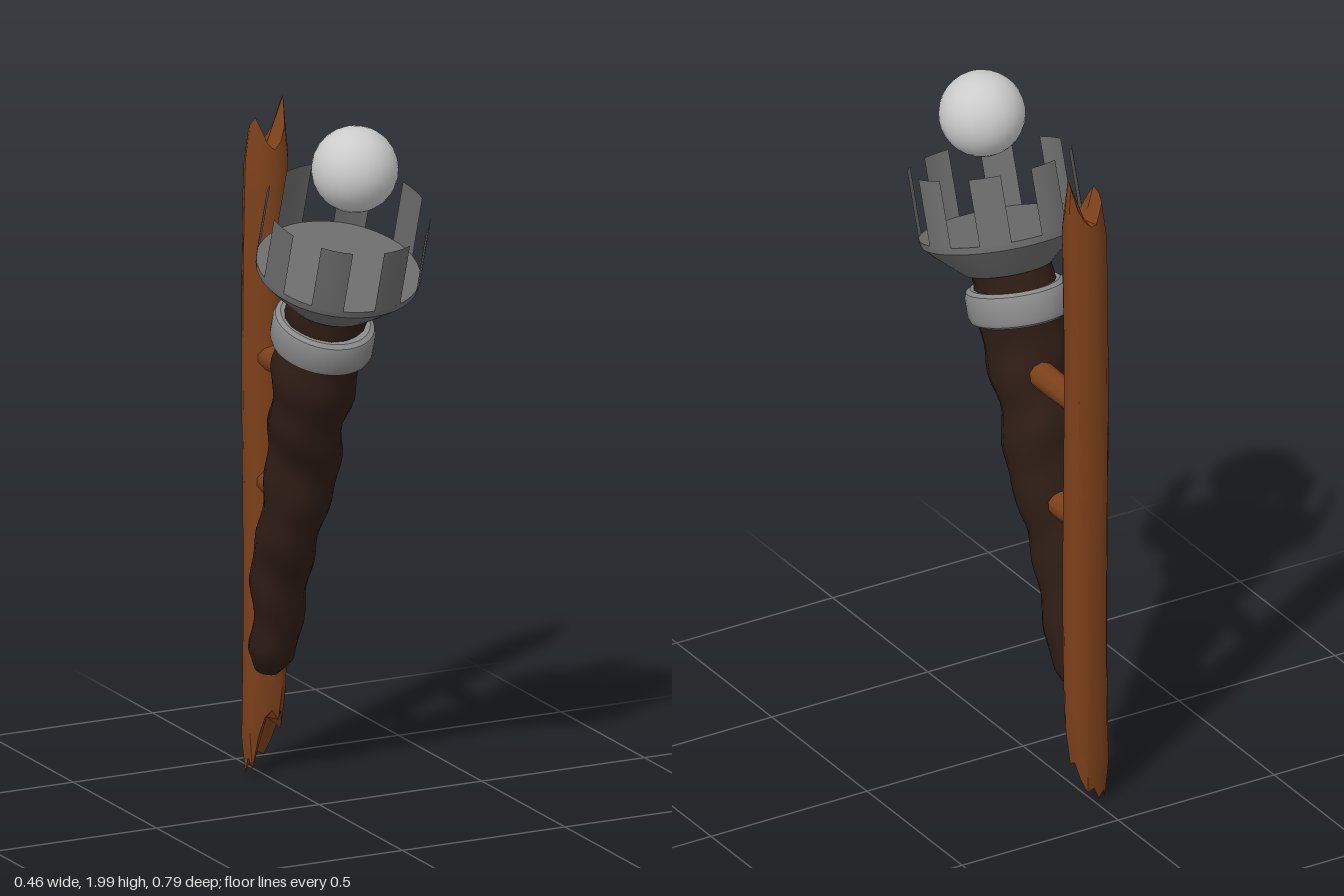
import * as THREE from 'three';
import { toCreasedNormals } from 'three/addons/utils/BufferGeometryUtils.js';

const material = (color, side = THREE.FrontSide) => new THREE.MeshStandardMaterial({ color, side });

function part(name, geometry, mat, parent) {
  const mesh = new THREE.Mesh(geometry, mat);
  mesh.name = name;
  parent.add(mesh);
  return mesh;
}

// Closed tube: point(v, angle) gives [x, y, z]; angle runs from +z towards +x.
function loft(rows, cols, point, bottom, top) {
  const pos = [], index = [];
  for (let i = 0; i <= rows; i++) {
    for (let j = 0; j < cols; j++) pos.push(...point(i / rows, (j / cols) * Math.PI * 2));
  }
  const b = pos.length / 3;
  pos.push(...bottom, ...top);
  for (let j = 0; j < cols; j++) {
    const k = (j + 1) % cols, last = rows * cols;
    for (let i = 0; i < rows; i++) {
      const r = i * cols, s = r + cols;
      index.push(r + j, r + k, s + j, r + k, s + k, s + j);
    }
    index.push(b, k, j, b + 1, last + j, last + k);
  }
  const g = new THREE.BufferGeometry();
  g.setAttribute('position', new THREE.Float32BufferAttribute(pos, 3));
  g.setIndex(index);
  g.computeVertexNormals();
  return g;
}

const lathe = (points) => toCreasedNormals(
  new THREE.LatheGeometry(points.map(([r, y]) => new THREE.Vector2(r, y)), 40), 0.6);

export function createModel() {
  const model = new THREE.Group();
  model.name = 'wallTorch';
  const wood = material(0x7c401a);
  const bark = material(0x2e1c15);
  const iron = material(0x6c6c6c);
  const plate = material(0x6c6c6c, THREE.DoubleSide);

  // Upright wooden post with splintered ends (end heights listed around the post)
  const topEnd = [1.80, 1.82, 1.86, 1.89, 1.94, 1.92, 1.86, 1.82, 1.80, 1.80, 1.83, 1.85, 1.87, 1.89, 1.86, 1.82];
  const lowEnd = [0.20, 0.17, 0.19, 0.17, 0.13, 0.14, 0.09, 0.05, 0.06, 0.02, 0.04, 0.01, 0.06, 0.03, 0.12, 0.18];
  const post = loft(18, 16, (v, a) => {
    const j = Math.round(a / (Math.PI * 2) * 16) % 16;
    const y = THREE.MathUtils.lerp(lowEnd[j], topEnd[j], v);
    const ends = 1 - 0.2 * Math.max(0, Math.abs(v - 0.5) * 2 - 0.88) / 0.12;
    const r = ends * (1 + 0.05 * Math.sin(3 * a + 1) + 0.03 * Math.sin(5 * a + 4 * v));
    return [0.008 + 0.063 * r * Math.sin(a) + 0.004 * Math.sin(7 * v),
      y, -0.338 + 0.012 * (v - 0.5) + 0.056 * r * Math.cos(a)];
  }, [0.01, 0.17, -0.335], [0.005, 1.80, -0.332]);
  part('post', toCreasedNormals(post, 0.7), wood, model);

  // Two short pegs joining post and handle
  for (const [y, front] of [[1.21, -0.06], [0.855, -0.16]]) {
    const length = front + 0.32;
    const peg = part('peg', new THREE.CylinderGeometry(0.04, 0.036, length, 10), wood, model);
    peg.rotation.x = Math.PI / 2;
    peg.position.set(0, y, front - length / 2);
  }

  // Torch leaning forward, its origin in the middle of the collar
  const torch = new THREE.Group();
  torch.name = 'torch';
  torch.position.set(0, 1.37, 0.05);
  torch.rotation.x = 0.314;
  model.add(torch);

  // Knobbly tapering handle
  const handle = loft(44, 18, (v, a) => {
    const y = -1.1 + 1.25 * v;
    const taper = 0.062 + 0.055 * Math.min(1, v * 1.25);
    const tip = Math.min(1, 0.55 + v * 9);
    const bumps = 1 + 0.05 * Math.sin(44 * v + 1.5 * Math.sin(a)) + 0.035 * Math.sin(2 * a + 23 * v)
      + 0.02 * Math.sin(5 * a - 31 * v);
    const r = taper * tip * bumps;
    return [-0.014 + 0.007 * Math.sin(15 * v) + r * Math.sin(a), y, 0.006 * Math.sin(19 * v) + r * Math.cos(a)];
  }, [-0.01, -1.11, 0], [-0.01, 0.15, 0]);
  part('handle', handle, bark, torch);

  // Rounded metal collar
  const collar = part('collar', lathe([
    [0.10, -0.045], [0.135, -0.05], [0.149, -0.042], [0.155, -0.028], [0.155, 0.028],
    [0.149, 0.042], [0.135, 0.05], [0.10, 0.045],
  ]), material(0x8a8a8a), torch);
  collar.scale.x = 0.9;
  collar.position.x = -0.014;

  // Flared bowl, closed on top
  part('bowl', lathe([[0, 0.1], [0.125, 0.1], [0.175, 0.145], [0.226, 0.195], [0.228, 0.215], [0, 0.215]]), iron, torch);

  // Eight thin upright plates around the rim
  const step = Math.PI / 8;
  for (let i = 0; i < 8; i++) {
    const merlon = part('rimPlate',
      new THREE.CylinderGeometry(0.228, 0.228, 0.195, 4, 1, true, i * step * 2, step), plate, torch);
    merlon.position.y = 0.3075;
  }

  // Ball floating above the bowl
  part('ball', new THREE.SphereGeometry(0.12, 32, 16), material(0xcccccc), torch).position.y = 0.535;

  return model;
}
